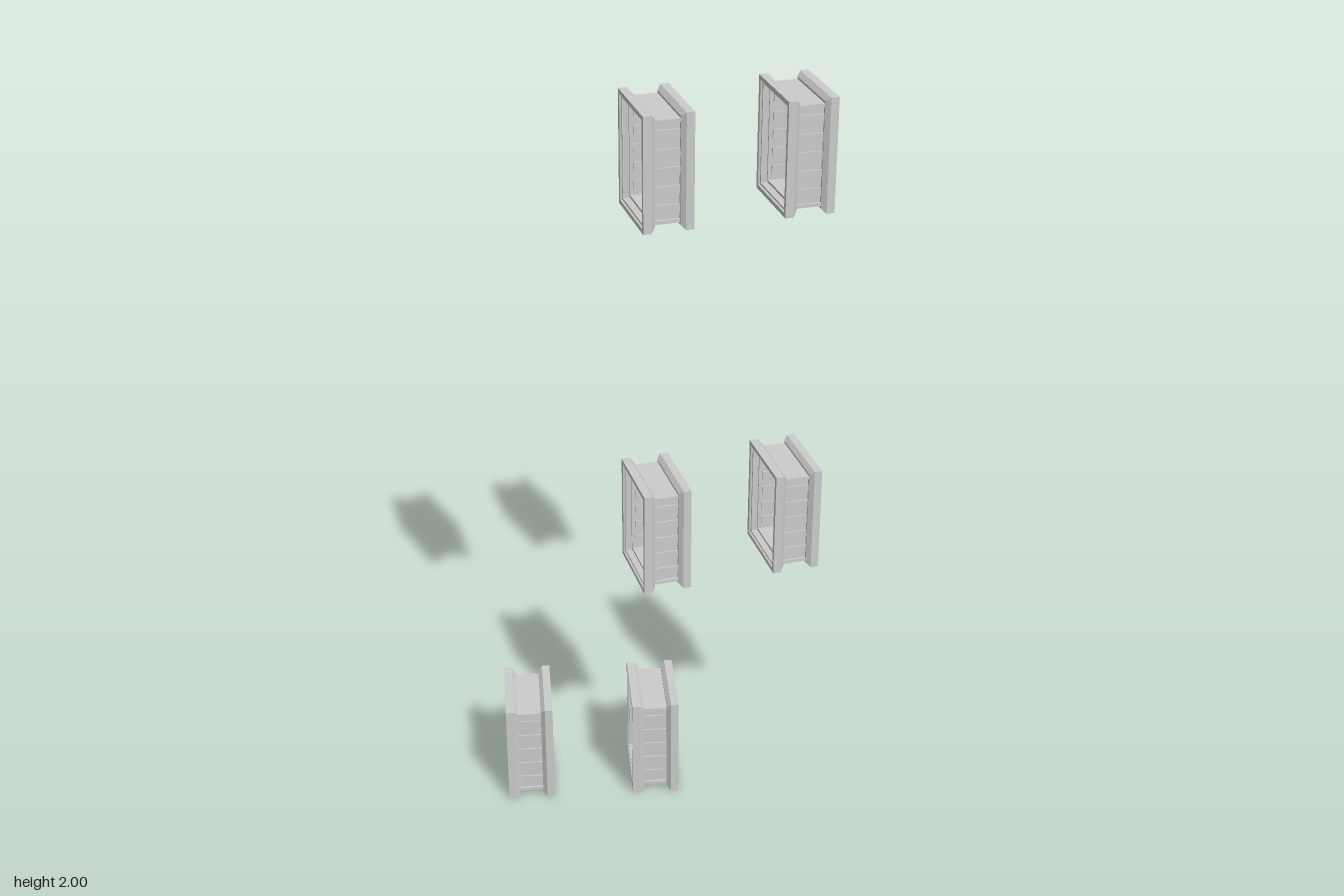
import * as THREE from 'three';

const mat = new THREE.MeshStandardMaterial({ color: 0xcccccc, flatShading: true });
const HX = 0.064, HY = 0.148, HZ = 0.108; // half size of one window casing

function add(group, name, geo, x = 0, y = 0, z = 0) {
  const m = new THREE.Mesh(geo, mat);
  m.name = name;
  m.position.set(x, y, z);
  group.add(m);
  return m;
}

// Rectangular moulding: a closed [x, inset] profile swept round four mitred corners
function frameGeometry() {
  const profile = [[0.032, 0.021], [0.032, 0.011], [0.043, 0], [HX, 0],
    [HX, 0.011], [0.059, 0.013], [0.059, 0.018], [0.055, 0.018]];
  const corners = [[1, 1], [-1, 1], [-1, -1], [1, -1]];
  const pos = [], idx = [];
  for (const [sy, sz] of corners)
    for (const [x, d] of profile) pos.push(x, sy * (HY - d), sz * (HZ - d));
  const n = profile.length;
  for (let c = 0; c < 4; c++)
    for (let i = 0; i < n; i++) {
      const j = (i + 1) % n, k = ((c + 1) % 4) * n;
      idx.push(c * n + i, k + i, k + j, c * n + i, k + j, c * n + j);
    }
  const g = new THREE.BufferGeometry();
  g.setAttribute('position', new THREE.Float32BufferAttribute(pos, 3));
  g.setIndex(idx);
  const flat = g.toNonIndexed();
  flat.computeVertexNormals();
  return flat;
}

// Horizontal slab with clipped corners
function slabGeometry(hx, hz, c, h) {
  const s = new THREE.Shape([[hx, hz - c], [hx - c, hz], [c - hx, hz], [-hx, hz - c],
    [-hx, c - hz], [c - hx, -hz], [hx - c, -hz], [hx, c - hz]].map(p => new THREE.Vector2(...p)));
  return new THREE.ExtrudeGeometry(s, { depth: h, bevelEnabled: false })
    .rotateX(-Math.PI / 2).translate(0, -h / 2, 0);
}

const frame = frameGeometry();
const slab = slabGeometry(0.042, 0.096, 0.01, 0.009);
const panel = new THREE.BoxGeometry(0.086, 0.256, 0.006);
const rib = new THREE.BoxGeometry(0.066, 0.022, 0.014);

function casing() {
  const g = new THREE.Group();
  g.name = 'windowCasing';
  // mouldings on both faces of the wall
  add(g, 'leftFrame', frame);
  add(g, 'rightFrame', frame).rotation.y = Math.PI;
  // head and sill
  for (const s of [1, -1]) add(g, s > 0 ? 'head' : 'sill', slab, 0, s * 0.1265, 0);
  // jambs with horizontal ribs showing inside and out
  for (const s of [1, -1]) {
    add(g, 'jamb', panel, 0, 0, s * 0.087);
    for (let i = -2; i <= 2; i++) add(g, 'jambRib', rib, 0, i * 0.047, s * 0.087);
  }
  return g;
}

export function createModel() {
  const model = new THREE.Group();
  model.name = 'windowCasings';
  // x, y, z, turn of each casing: a lower pair and two upper pairs
  const places = [[-0.365, HY, 0.06, 0.075], [-0.018, HY, 0.037, 0.075]];
  for (const y of [0.826, 2 - HY])
    places.push([-0.007, y, 0.046, 0.278], [0.34, y, -0.053, 0.278]);
  for (const [x, y, z, turn] of places) {
    const c = casing();
    c.position.set(x, y, z);
    c.rotation.y = turn;
    model.add(c);
  }
  return model;
}
